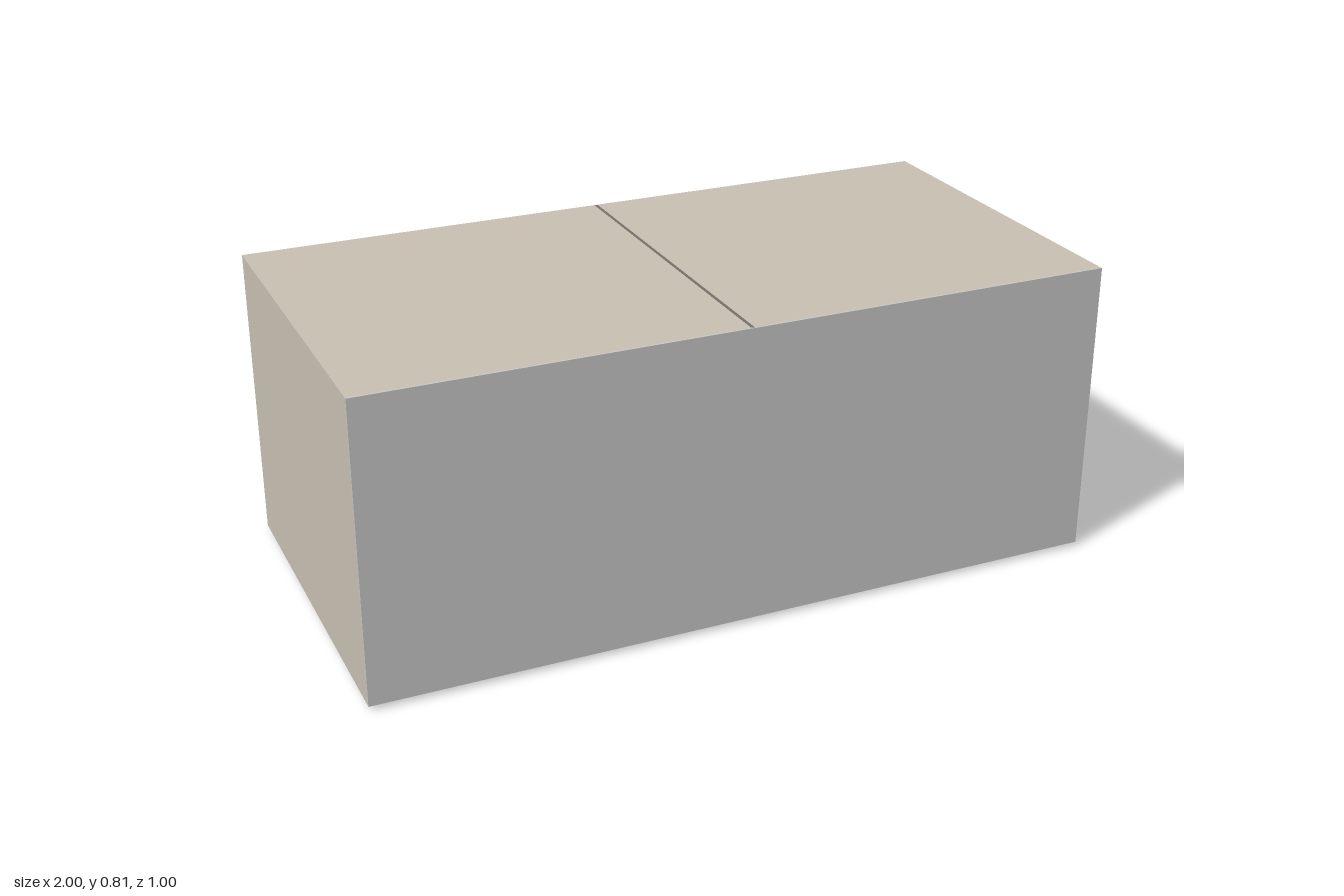
import * as THREE from 'three';

export function createModel() {
  const model = new THREE.Group();
  model.name = 'doubleCabinet';

  const material = (name, color) => {
    const m = new THREE.MeshStandardMaterial({ color });
    m.name = name;
    return m;
  };
  const tan = material('tan', 0xc9c0b2);
  const grey = material('light grey', 0xc8c8c8);
  const seamGrey = material('seam grey', 0x77736b);
  const dark = material('dark', 0x4a4640);
  const crimson = material('crimson', 0xc03062);

  const BASE = 0.012, HEIGHT = 0.8, DEPTH = 1;

  const add = (parent, name, geometry, mat, x, y, z) => {
    const mesh = new THREE.Mesh(geometry, mat);
    mesh.name = name;
    mesh.position.set(x, y, z);
    parent.add(mesh);
    return mesh;
  };
  const box = (parent, name, mat, w, h, d, x, y, z) =>
    add(parent, name, new THREE.BoxGeometry(w, h, d), mat, x, y, z);
  const disc = (parent, name, mat, r, h, x, y, z) =>
    add(parent, name, new THREE.CylinderGeometry(r, r, h, 20), mat, x, y, z);

  // Cabinet body with a full-size front panel
  const panel = 0.006;
  box(model, 'body', tan, 2, HEIGHT, DEPTH - panel, 0, BASE + HEIGHT / 2, -panel / 2);
  box(model, 'frontPanel', grey, 2, HEIGHT, panel, 0, BASE + HEIGHT / 2, DEPTH / 2 - panel / 2);

  // Seam between the two halves, on top and underneath
  box(model, 'topSeam', seamGrey, 0.008, 0.002, 0.99, 0, BASE + HEIGHT, 0);
  box(model, 'bottomSeam', seamGrey, 0.004, 0.002, 0.99, 0, BASE, 0);

  // Underside of each half: an access plate with connector dots
  const rows = [-0.235, -0.07, 0.1, 0.28];
  for (const [side, cx] of [['left', 0.5], ['right', -0.5]]) {
    const underside = new THREE.Group();
    underside.name = side + 'Underside';
    underside.position.set(cx, BASE, 0);
    model.add(underside);
    box(underside, 'accessPlate', tan, 0.78, 0.002, 0.8, 0, 0, 0);
    rows.forEach((z, i) => {
      disc(underside, 'darkSocket', dark, 0.025, 0.004, 0.114, 0, z);
      const columns = i < 2 ? [-0.01, -0.145, -0.268] : [-0.145];
      for (const x of columns) disc(underside, 'redSocket', crimson, 0.024, 0.004, x, 0, z);
    });
  }

  // Small round feet, each with a centre pin
  for (const x of [-0.055, 0.055]) {
    for (const z of [-0.35, 0.35]) {
      const foot = new THREE.Group();
      foot.name = 'foot';
      foot.position.set(x, 0, z);
      model.add(foot);
      disc(foot, 'footDisc', dark, 0.03, 0.006, 0, BASE - 0.003, 0);
      disc(foot, 'footPin', dark, 0.005, BASE, 0, BASE / 2, 0);
    }
  }
  return model;
}
